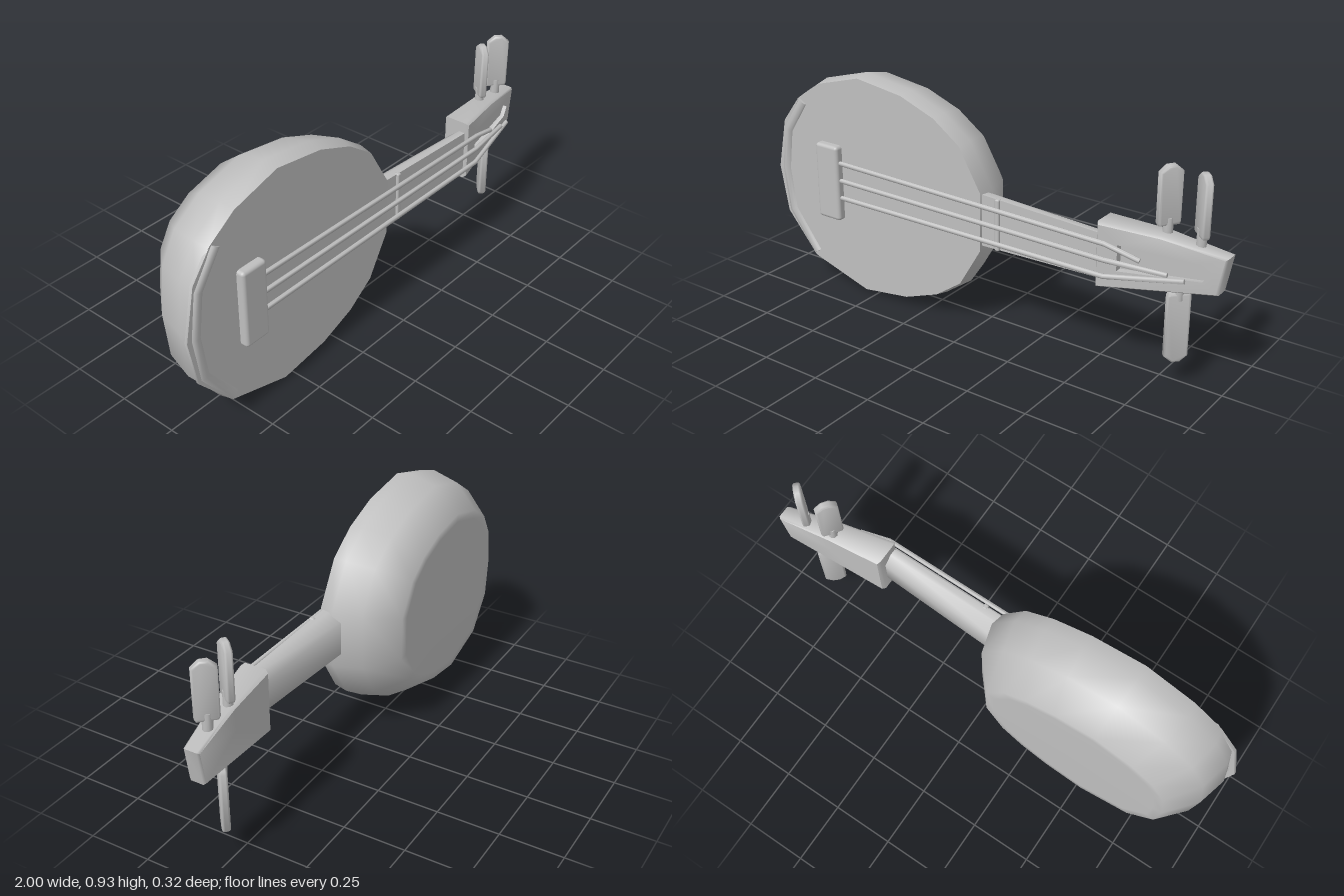
import * as THREE from 'three';
import { toCreasedNormals } from 'three/addons/utils/BufferGeometryUtils.js';
import { RoundedBoxGeometry } from 'three/addons/geometries/RoundedBoxGeometry.js';

const MID_Y = 0.465;

// Closed skin through rings of [x, y, z] points, counter-clockwise seen from the first ring's outside.
function loft(rings) {
  const n = rings[0].length, pos = rings.flat(2), idx = [];
  const centre = (r) => [0, 1, 2].map((k) => r.reduce((s, p) => s + p[k], 0) / n);
  const last = rings.length - 1, c0 = rings.length * n, c1 = c0 + 1;
  pos.push(...centre(rings[0]), ...centre(rings[last]));
  for (let j = 0; j < n; j++) {
    const k = (j + 1) % n;
    idx.push(c0, j, k, c1, last * n + k, last * n + j);
    for (let i = 0; i < last; i++) {
      const a = i * n + j, b = i * n + k;
      idx.push(a, a + n, b, b, a + n, b + n);
    }
  }
  const g = new THREE.BufferGeometry();
  g.setAttribute('position', new THREE.Float32BufferAttribute(pos, 3));
  g.setIndex(idx);
  return g;
}

// Straight-segmented rod through points, with separate half width and half height
function rod(points, width, height, sides) {
  const v = points.map((p) => new THREE.Vector3(...p));
  const rings = v.map((p, i) => {
    const dir = v[Math.min(i + 1, v.length - 1)].clone().sub(v[Math.max(i - 1, 0)]).normalize();
    const up = new THREE.Vector3(0, 0, 1);
    const side = new THREE.Vector3().crossVectors(dir, up).normalize();
    up.crossVectors(side, dir);
    return Array.from({ length: sides }, (_, s) => {
      const a = (s / sides) * Math.PI * 2;
      return p.clone().addScaledVector(side, Math.cos(a) * width)
        .addScaledVector(up, Math.sin(a) * height).toArray();
    });
  });
  return loft(rings);
}

export function createModel() {
  const model = new THREE.Group();
  model.name = 'lute';
  const grey = new THREE.MeshStandardMaterial({ color: 0xbfbfbf });
  grey.name = 'plain grey';
  const add = (name, geometry, crease = 0.7, parent = model) => {
    const mesh = new THREE.Mesh(crease ? toCreasedNormals(geometry, crease) : geometry, grey);
    mesh.name = name;
    parent.add(mesh);
    return mesh;
  };

  // Bowl: rounded outline shrinking towards a flat back
  const half = [[0.05, 0.12], [-0.05, 0.29], [-0.17, 0.375], [-0.33, 0.435], [-0.55, 0.465]];
  const outline = [...half, [-0.76, 0.405], [-0.885, 0.32], [-0.955, 0.2], [-0.98, 0],
    [-0.96, -0.2], [-0.825, -0.382], ...half.map(([x, y]) => [x, -y]).reverse()];
  const cx = -0.47;
  const bodyRing = (z, s) => outline.map(([x, y]) => [cx + (x - cx) * s, MID_Y + y * s, z]);
  add('bowl', loft([bodyRing(0.128, 0.975), bodyRing(0.07, 1), bodyRing(-0.045, 0.94),
    bodyRing(-0.16, 0.75), bodyRing(-0.161, 0.68)]), 1.0);

  // Neck: flat front, softly rounded back
  const section = [[1, 0], [1, 0.4], [0.65, 1], [-0.65, 1], [-1, 0.4], [-1, 0]];
  const neckRing = (x, h, front, back) =>
    section.map(([y, t]) => [x, 0.472 + y * h, front + (back - front) * t]);
  add('neck', loft([neckRing(-0.02, 0.106, 0.118, 0.035), neckRing(0.57, 0.086, 0.124, 0.06)]), 1.1);
  const ridge = add('neckRidge', new RoundedBoxGeometry(0.02, 0.208, 0.022, 1, 0.006), 0);
  ridge.position.set(0.112, 0.472, 0.119);

  // Headstock: tapering block with a string slot sunk in the front
  const head = [[0.54, 0.35], [0.975, 0.408], [1.0, 0.55], [0.77, 0.59], [0.54, 0.603]];
  const slot = [[0.62, 0.43], [0.92, 0.45], [0.945, 0.485], [0.9, 0.515], [0.62, 0.53]];
  const headRing = (pts, t, s = 1) => pts.map(([px, py]) => {
    const x = 0.77 + (px - 0.77) * (0.5 + s / 2), y = 0.475 + (py - 0.475) * s;
    const u = (x - 0.54) / 0.46;
    const front = 0.138 - 0.09 * u, back = 0.024 - 0.04 * u;
    return [x, y, back + (front - back) * t];
  });
  add('headstock', loft([headRing(slot, 0.75), headRing(slot, 1), headRing(head, 1, 0.93),
    headRing(head, 0.88), headRing(head, 0.12), headRing(head, 0, 0.93)]), 0.9);

  // Tuning pegs: pointed paddles on short stems
  const paddle = (h) => {
    const w = 0.044, s = new THREE.Shape();
    s.moveTo(-w + 0.006, 0).lineTo(w - 0.006, 0).lineTo(w, 0.012).lineTo(w, h - 0.025)
      .lineTo(0.015, h).lineTo(-0.015, h).lineTo(-w, h - 0.025).lineTo(-w, 0.012);
    const g = new THREE.ExtrudeGeometry(s, { depth: 0.014, bevelEnabled: true, bevelSegments: 2,
      bevelSize: 0.008, bevelOffset: -0.008, bevelThickness: 0.008 });
    return g.translate(0, 0, -0.007);
  };
  const pegs = [
    ['upperInnerPeg', 0.765, 0.56, 0.055, 0.222, 0.95, 1],
    ['upperOuterPeg', 0.89, 0.545, 0.058, 0.227, -0.77, 1],
    ['lowerPeg', 0.823, 0.425, 0.05, 0.275, 0.75, -1],
  ];
  for (const [name, x, y, stem, h, turn, dir] of pegs) {
    const peg = new THREE.Group();
    peg.name = name;
    peg.position.set(x, y, x < 0.85 ? 0.035 : 0.027);
    peg.rotation.set(0, turn, dir < 0 ? Math.PI : 0);
    add('pegStem', new THREE.CylinderGeometry(0.019, 0.019, stem + 0.03, 8), 0.9, peg)
      .position.y = (stem + 0.03) / 2;
    add('pegPaddle', paddle(h), 1.0, peg).position.y = stem;
    model.add(peg);
  }

  // Bridge
  const bridge = add('bridge', new RoundedBoxGeometry(0.115, 0.32, 0.045, 2, 0.014), 0);
  bridge.position.set(-0.705, 0.462, 0.138);

  // Strings bend over the headstock and gather in the slot
  const strings = [[0.55, 0.537, 0.715, 0.5, 0.132], [0.475, 0.475, 0.815, 0.468, 0.117],
    [0.4, 0.412, 0.875, 0.457, 0.106]];
  for (const [y0, y1, x2, y2, z2] of strings) {
    add('string', rod([[-0.67, y0, 0.141], [0.585, y1, 0.152], [x2, y2, z2]], 0.01, 0.009, 8), 1.2);
  }

  // Tail guard: raised rod along the rim over a thin crescent lip
  const rim = [[-0.845, 0.77], [-0.935, 0.635], [-0.96, 0.46], [-0.935, 0.28], [-0.81, 0.115]];
  add('tailRod', rod(rim.map(([x, y]) => [x, y, 0.126]), 0.021, 0.013, 8), 1.0);
  const lip = new THREE.Shape([[-0.87, 0.78], [-0.955, 0.67], [-1, 0.46], [-0.965, 0.265],
    [-0.82, 0.095], [-0.93, 0.28], [-0.955, 0.46], [-0.93, 0.635]]
    .map((p) => new THREE.Vector2(...p)));
  add('tailLip', new THREE.ExtrudeGeometry(lip, { depth: 0.012, bevelEnabled: false })
    .translate(0, 0, 0.117));

  return model;
}
